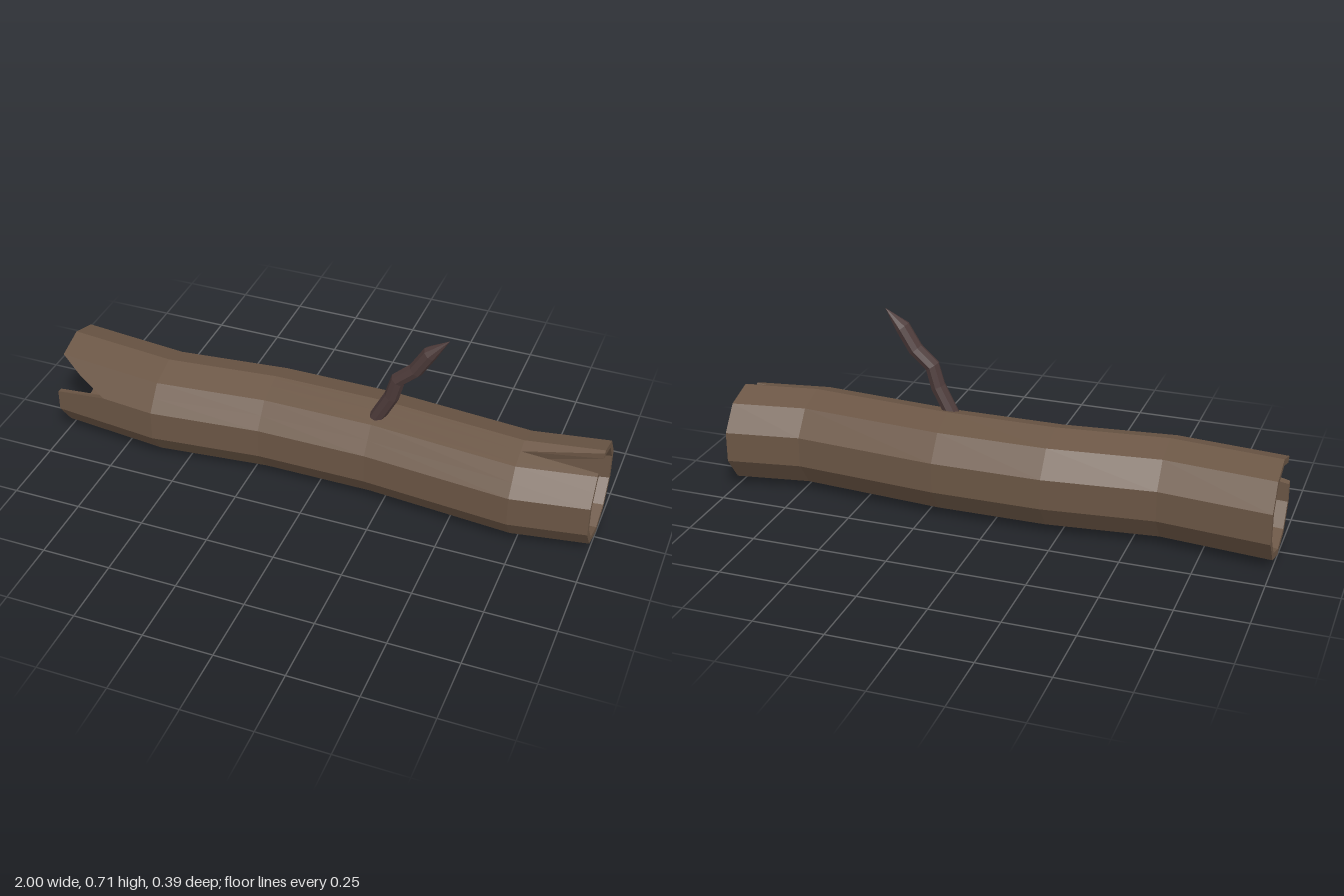
import * as THREE from 'three';

const SIDES = 10, CENTER_Y = 0.181, OUTER = 0.181;

// Log spine: [x, centre z, inner radius]
const STATIONS = [
  [-1, -0.024, 0.157], [-0.6, 0.018, 0.137], [-0.2, -0.024, 0.137],
  [0.2, -0.024, 0.137], [0.73, 0.02, 0.137], [1, -0.024, 0.157],
];

// Lengthwise columns: [side position counted from the top towards +z, start x, end x].
// The extra columns carve a split into each end.
const COLUMNS = [
  [0, -1, 1], [0.12, -1, 1], [0.42, -1, 0.73], [0.87, -1, 1], [1, -1, 1],
  [1.5, -0.915, 1], [2, -0.8, 1], [2.3, -1, 1],
];
for (let k = 3; k < SIDES; k++) COLUMNS.push([k, -1, 1]);

function spineAt(x) {
  let i = 0;
  while (i < STATIONS.length - 2 && x > STATIONS[i + 1][0]) i++;
  const a = STATIONS[i], b = STATIONS[i + 1];
  const t = (x - a[0]) / (b[0] - a[0]);
  return { z: THREE.MathUtils.lerp(a[1], b[1], t), inner: THREE.MathUtils.lerp(a[2], b[2], t) };
}

// Point on the straight-sided cross-section
function barkPoint(side, x, isInner) {
  const { z, inner } = spineAt(x);
  const r = isInner ? inner : OUTER;
  const k = Math.floor(side), step = (Math.PI * 2) / SIDES;
  const corner = (n) => new THREE.Vector3(x, CENTER_Y + r * Math.cos(n * step), z + r * Math.sin(n * step));
  return corner(k).lerp(corner(k + 1), side - k);
}

function geometryFrom(positions) {
  const g = new THREE.BufferGeometry();
  g.setAttribute('position', new THREE.Float32BufferAttribute(positions, 3));
  g.computeVertexNormals();
  return g;
}

function hollowLogGeometry() {
  const out = [];
  const tri = (a, b, c) => {
    if (new THREE.Triangle(a, b, c).getArea() > 1e-8) out.push(...a, ...b, ...c);
  };
  const quad = (a, b, c, d) => { tri(a, b, c); tri(a, c, d); };
  const line = ([side, x0, x1], isInner) =>
    STATIONS.map(([x]) => barkPoint(side, THREE.MathUtils.clamp(x, x0, x1), isInner));
  const last = STATIONS.length - 1;

  COLUMNS.forEach((col, i) => {
    const next = COLUMNS[(i + 1) % COLUMNS.length];
    const oa = line(col, false), ob = line(next, false);
    const ia = line(col, true), ib = line(next, true);
    for (let s = 0; s < last; s++) {
      quad(oa[s], ob[s], ob[s + 1], oa[s + 1]); // bark
      quad(ia[s], ia[s + 1], ib[s + 1], ib[s]); // hollow
    }
    quad(ia[0], ib[0], ob[0], oa[0]); // rims
    quad(ia[last], oa[last], ob[last], ib[last]);
  });
  return geometryFrom(out);
}

// Crooked twig: rings across a bent path, closing in a point
function branchGeometry() {
  const path = [
    [0.2, 0.322], [0.214, 0.35], [0.257, 0.433], [0.278, 0.508], [0.34, 0.564], [0.388, 0.642], [0.454, 0.707],
  ].map(([x, y]) => new THREE.Vector3(x, y, 0.033));
  const n = 8, radius = 0.03, out = [];
  const rings = path.map((p, i) => {
    const dir = path[Math.min(i + 1, path.length - 1)].clone().sub(path[Math.max(i - 1, 0)]).normalize();
    const across = new THREE.Vector3(dir.y, -dir.x, 0);
    const r = i === path.length - 1 ? 0 : radius;
    return Array.from({ length: n }, (_, j) => {
      const a = (j / n) * Math.PI * 2;
      return p.clone().addScaledVector(across, r * 0.9 * Math.cos(a)).add(new THREE.Vector3(0, 0, -r * Math.sin(a)));
    });
  });
  for (let i = 0; i < rings.length - 1; i++) {
    for (let j = 0; j < n; j++) {
      const k = (j + 1) % n;
      const a = rings[i][j], b = rings[i][k], c = rings[i + 1][k], d = rings[i + 1][j];
      out.push(...a, ...b, ...c);
      if (i < rings.length - 2) out.push(...a, ...c, ...d);
      if (i === 0) out.push(...path[0], ...b, ...a);
    }
  }
  return geometryFrom(out);
}

export function createModel() {
  const model = new THREE.Group();
  model.name = 'fallenLog';
  const add = (name, geometry, color) => {
    const mesh = new THREE.Mesh(geometry, new THREE.MeshStandardMaterial({ color, flatShading: true }));
    mesh.name = name;
    model.add(mesh);
  };
  add('hollowTrunk', hollowLogGeometry(), 0x6b5645);
  add('branch', branchGeometry(), 0x4d3b3a);
  return model;
}
